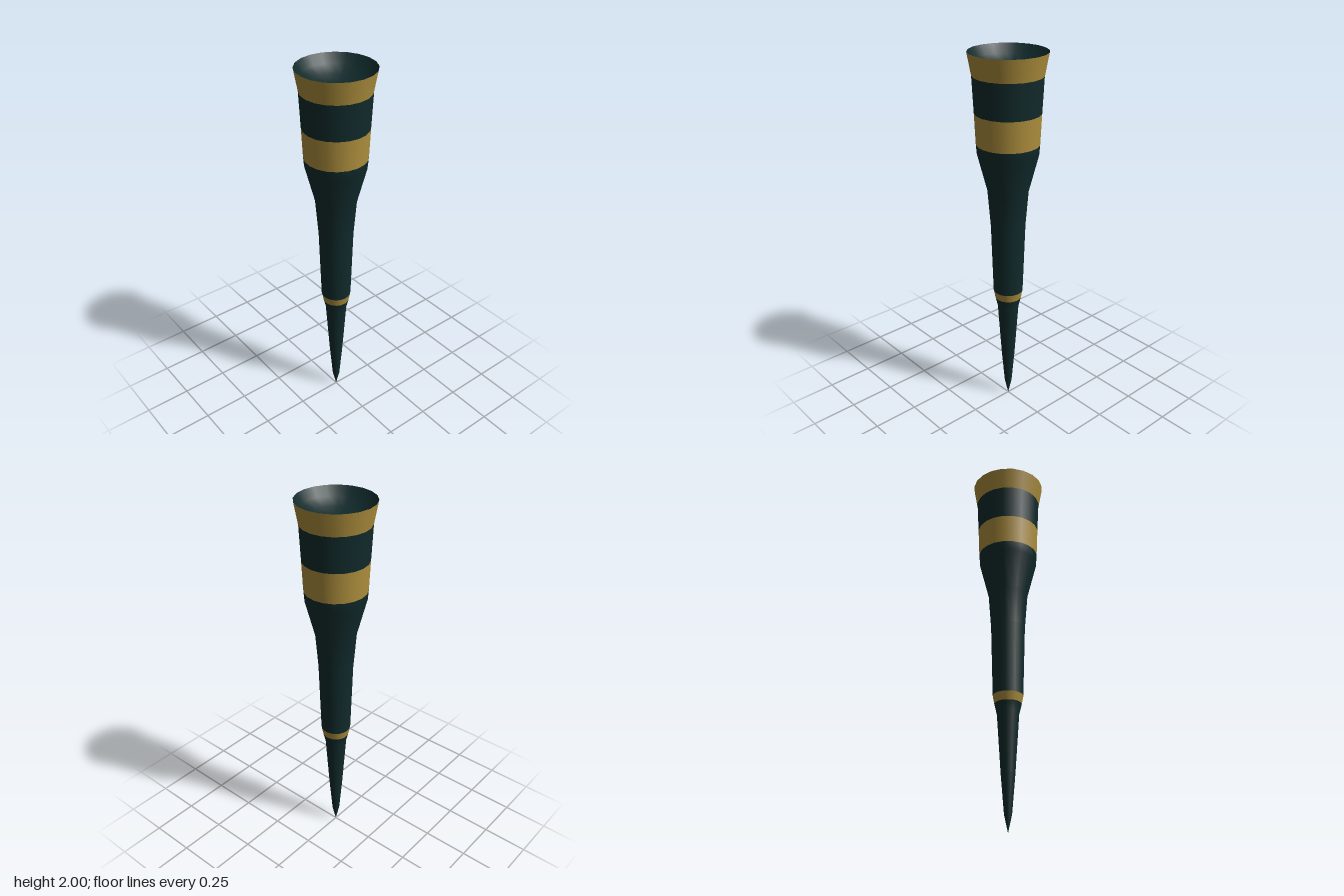
import * as THREE from 'three';

const SIDES = 20;

export function createModel() {
  const dark = new THREE.MeshStandardMaterial({ color: 0x112a2b });
  dark.name = 'darkTeal';
  const gold = new THREE.MeshStandardMaterial({ color: 0xae8f3d });
  gold.name = 'gold';

  const group = new THREE.Group();
  group.name = 'taperedSpike';

  // Turn a [radius, height] profile around the y axis
  function turned(name, profile, material) {
    const points = profile.map(([r, y]) => new THREE.Vector2(r, y));
    const mesh = new THREE.Mesh(new THREE.LatheGeometry(points, SIDES), material);
    mesh.name = name;
    group.add(mesh);
  }

  // Outer shell, from the tip up to the flared mouth
  turned('tip', [[0, 0], [0.02, 0.09], [0.037, 0.29], [0.058, 0.6], [0.071, 0.655]], dark);
  turned('lowerBand', [[0.071, 0.655], [0.08, 0.7]], gold);
  turned('shaft', [[0.08, 0.7], [0.092, 1.09], [0.108, 1.29], [0.159, 1.49], [0.163, 1.54]], dark);
  turned('middleBand', [[0.163, 1.54], [0.17, 1.7]], gold);
  turned('neck', [[0.17, 1.7], [0.179, 1.885]], dark);
  turned('flaredRim', [[0.179, 1.885], [0.2, 2]], gold);

  // Concave mouth, from the rim down to the centre
  turned('mouth', [[0.2, 2], [0.17, 1.955], [0.12, 1.92], [0.06, 1.9], [0, 1.895]], dark);

  return group;
}
